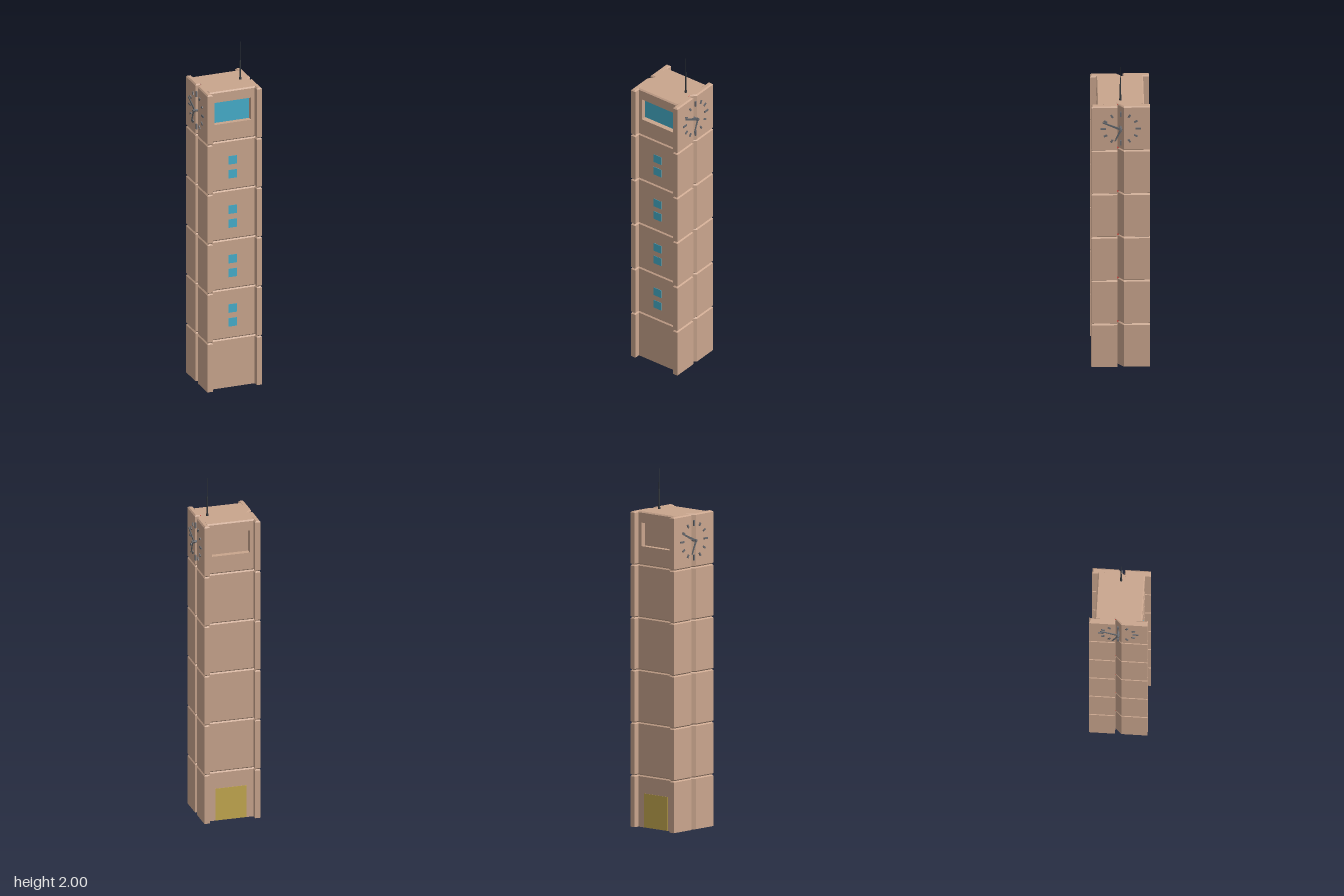
import * as THREE from 'three';

const mat = (color) => new THREE.MeshStandardMaterial({ color, flatShading: true });
const STONE = mat(0xc9a58d), BLUE = mat(0x46aecb), RED = mat(0xdc1414), YELLOW = mat(0xc4a850);
const TICK = mat(0x6b6b6f), HAND = mat(0x606469), DARK = mat(0x33383c);

const W = 0.163, P = 0.131, S = 0.0175, B = 0.007, TOP = 1.775;
const GROOVES = [0.291, 0.587, 0.883, 1.179, 1.475];

function add(parent, name, geometry, material, x = 0, y = 0, z = 0) {
  const mesh = new THREE.Mesh(geometry, material);
  mesh.name = name;
  mesh.position.set(x, y, z);
  parent.add(mesh);
  return mesh;
}

const box = (w, h, d) => new THREE.BoxGeometry(w, h, d);

function polygon(points) {
  return new THREE.Shape(points.map(([x, y]) => new THREE.Vector2(x, y)));
}

// Tower plan: four corner flanges, recessed front and back, a slot in each side
function plan(panel) {
  const half = [[W, S], [W, W], [P, W], [P, panel], [-P, panel], [-P, W], [-W, W], [-W, S], [-P, S]];
  return polygon([...half, ...half.map(([x, y]) => [-x, -y])]);
}

// One storey with chamfered top and bottom rims
function storey(y0, y1, panel) {
  const g = new THREE.ExtrudeGeometry(plan(panel), {
    depth: y1 - y0 - 2 * B, bevelEnabled: true, bevelSize: B, bevelThickness: B, bevelOffset: -B, bevelSegments: 1,
  });
  g.translate(0, 0, B);
  g.rotateX(-Math.PI / 2);
  g.translate(0, y0, 0);
  return g;
}

// Horizontal rail of the top storey, with optional chamfers on its outer edges
function rail(y0, y1, low, high) {
  const g = new THREE.ExtrudeGeometry(polygon([
    [-P, y0 + low], [-P + low, y0], [-0.08, y0], [-0.08, y1], [-P + high, y1], [-P, y1 - high],
  ].filter(([x, y], i, a) => !a.slice(0, i).some(([u, v]) => u === x && v === y))), { depth: 2 * P + 0.01, bevelEnabled: false });
  g.translate(0, 0, -P - 0.005);
  g.rotateY(Math.PI / 2);
  return g;
}

// Flat tapered hand pointing from the hub to (z, y)
function clockHand(parent, name, x, z, y, width) {
  const length = Math.hypot(z, y);
  const g = new THREE.ExtrudeGeometry(polygon([
    [-width / 2, -0.008], [width / 2, -0.008], [width / 4, length], [-width / 4, length],
  ]), { depth: 0.004, bevelEnabled: false });
  g.rotateY(Math.PI / 2);
  add(parent, name, g, HAND, x).rotation.x = Math.atan2(z, y);
}

function clock() {
  const g = new THREE.Group();
  g.name = 'clock';
  // Hour marks, longer at the quarters
  for (let i = 0; i < 12; i++) {
    const a = (i * Math.PI) / 6, quarter = i % 3 === 0, r = 0.097;
    add(g, 'hourMark', box(0.007, quarter ? 0.032 : 0.02, 0.01), TICK,
      W + 0.002, r * Math.cos(a), r * Math.sin(a)).rotation.x = a;
  }
  const axle = new THREE.CylinderGeometry(0.007, 0.007, 0.058, 12);
  axle.rotateZ(Math.PI / 2);
  add(g, 'axle', axle, TICK, 0.158);
  clockHand(g, 'minuteHand', 0.172, 0.1, 0.048, 0.014);
  clockHand(g, 'hourHand', 0.179, 0.032, -0.075, 0.012);
  g.position.y = 1.628;
  return g;
}

export function createModel() {
  const model = new THREE.Group();
  model.name = 'clockTower';

  // Stacked storeys; the base is cut square at the ground
  const base = new THREE.ExtrudeGeometry(plan(P), { depth: 0.02, bevelEnabled: false });
  base.rotateX(-Math.PI / 2);
  add(model, 'base', base, STONE);
  const levels = [0.001, ...GROOVES, TOP];
  for (let i = 0; i < 6; i++) {
    add(model, 'storey', storey(levels[i], levels[i + 1], i === 5 ? 0.1 : P), STONE);
  }
  add(model, 'core', box(2 * P - 0.001, TOP - 0.001, 0.05), STONE, 0, TOP / 2);

  // Two sides alike: red strip in the slot, and a clock
  for (const side of [0, Math.PI]) {
    const face = new THREE.Group();
    face.name = 'clockSide';
    face.rotation.y = side;
    add(face, 'slotStrip', box(0.002, TOP - 0.004, 0.05), RED, P, TOP / 2);
    face.add(clock());
    model.add(face);
  }

  // Frame around the recessed opening, front and back
  for (const side of [0, Math.PI]) {
    const frame = new THREE.Group();
    frame.name = 'openingFrame';
    frame.rotation.y = side;
    add(frame, 'topRail', rail(1.712, TOP, 0, B), STONE);
    add(frame, 'bottomRail', rail(GROOVES[4], 1.58, B, 0), STONE);
    for (const s of [-1, 1]) add(frame, 'sidePost', box(0.025, 0.132, 0.051), STONE, s * 0.1225, 1.646, 0.1055);
    model.add(frame);
  }
  add(model, 'largeWindow', box(0.22, 0.132, 0.004), BLUE, 0, 1.646, 0.1);

  // Pairs of small windows up the front
  for (let i = 0; i < 4; i++) {
    for (const dy of [0, 0.083]) {
      add(model, 'smallWindow', box(0.052, 0.05, 0.004), BLUE, 0, 0.387 + i * 0.2955 + dy, P);
    }
  }

  add(model, 'door', box(0.18, 0.19, 0.004), YELLOW, 0, 0.096, -P);

  // Tapered mast on the roof
  const mast = [[0, 1.77], [0.007, 1.77], [0.007, 1.782], [0.005, 1.79], [0.004, 1.88], [0.0025, 1.89], [0.001, 2], [0, 2]];
  add(model, 'mast', new THREE.LatheGeometry(mast.map(([r, y]) => new THREE.Vector2(r, y)), 10), DARK, 0.097);

  return model;
}
